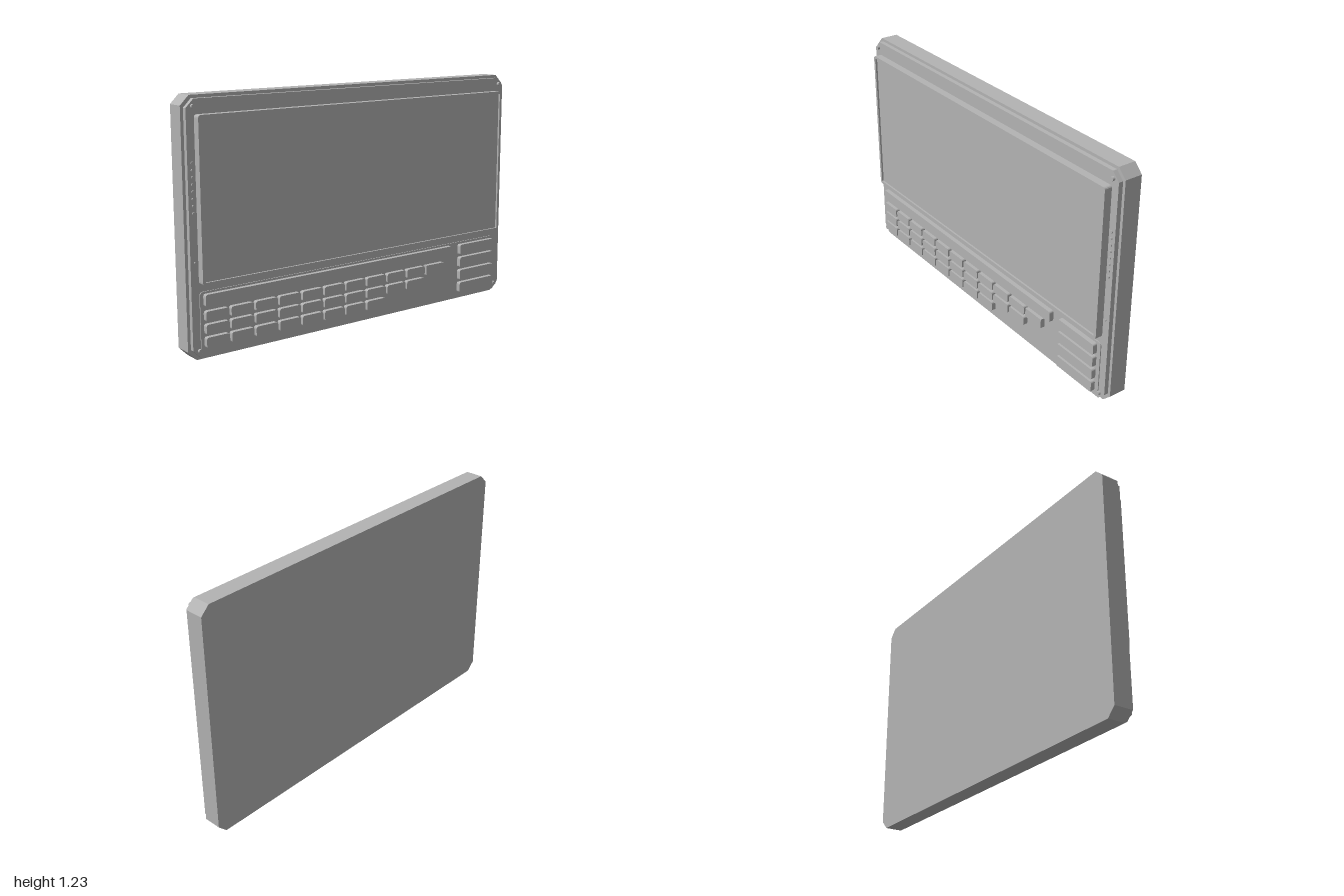
import * as THREE from 'three';

const grey = new THREE.MeshStandardMaterial({ color: 0xb3b3b3 });
grey.name = 'casing grey';

// Outline between two corners; corners are cut straight or rounded by r
function outline(x0, y0, x1, y1, r, round, Type = THREE.Shape) {
  const s = new Type();
  const corner = (cx, cy, x, y) => (round ? s.quadraticCurveTo(cx, cy, x, y) : s.lineTo(x, y));
  s.moveTo(x0 + r, y0);
  s.lineTo(x1 - r, y0);
  if (r) corner(x1, y0, x1, y0 + r);
  s.lineTo(x1, y1 - r);
  if (r) corner(x1, y1, x1 - r, y1);
  s.lineTo(x0 + r, y1);
  if (r) corner(x0, y1, x0, y1 - r);
  s.lineTo(x0, y0 + r);
  if (r) corner(x0, y0, x0 + r, y0);
  return s;
}

export function createModel() {
  const model = new THREE.Group();
  model.name = 'keyboardTerminal';

  const add = (name, geometry, parent = model) => {
    const mesh = new THREE.Mesh(geometry, grey);
    mesh.name = name;
    parent.add(mesh);
    return mesh;
  };
  const slab = (name, shape, z0, z1, parent) => {
    const g = new THREE.ExtrudeGeometry(shape, { depth: z1 - z0, bevelEnabled: false, curveSegments: 4 });
    g.translate(0, 0, z0);
    return add(name, g, parent);
  };
  const stud = (name, x, y, r, z0, z1, parent) => {
    const g = new THREE.CylinderGeometry(r, r, z1 - z0, 12);
    g.rotateX(Math.PI / 2);
    g.translate(x, y, (z0 + z1) / 2);
    return add(name, g, parent);
  };

  // Casing with cut corners and a stepped front plate
  slab('body', outline(-1, 0, 1, 1.23, 0.045, false), -0.075, 0.016);
  slab('frontPlate', outline(-0.985, 0.015, 0.985, 1.215, 0.04, false), 0.016, 0.039);

  // Raised bezel around a slightly recessed screen
  const bezel = outline(-0.945, 0.366, 0.945, 1.145, 0.015, true);
  bezel.holes.push(outline(-0.93, 0.38, 0.93, 1.132, 0.003, true, THREE.Path));
  slab('bezel', bezel, 0.039, 0.078);
  slab('screen', outline(-0.93, 0.38, 0.93, 1.132, 0.003, true), 0.039, 0.068);

  // Keyboard deck
  slab('keyDeck', outline(-0.945, 0.03, 0.945, 0.33, 0.02, true), 0.039, 0.044);

  // Keys: wide bar, three rows of small keys, and a side column
  const keys = new THREE.Group();
  keys.name = 'keys';
  model.add(keys);
  const key = (name, x0, y0, x1, y1, r = 0.012) =>
    slab(name, outline(x0, y0, x1, y1, r, true), 0.044, 0.068, keys);
  key('wideKey', -0.928, 0.26, 0.605, 0.32);
  const rows = [[11, 0.19, 0.24], [10, 0.127, 0.177], [8, 0.063, 0.115]];
  for (const [count, y0, y1] of rows) {
    for (let i = 0; i < count; i++) {
      const x = -0.928 + i * 0.1345;
      key('smallKey', x, y0, x + 0.123, y1, i === 10 ? 0 : 0.012);
    }
  }
  for (let i = 0; i < 4; i++) {
    const y = 0.26 - i * 0.0715;
    key('sideKey', 0.665, y, 0.922, y + 0.058);
  }

  // Corner screws, side rows of small studs and one lone stud on each side
  for (const side of [-1, 1]) {
    for (const y of [0.05, 1.182]) stud('screw', side * 0.952, y, 0.01, 0.039, 0.052);
    for (let i = 0; i < 8; i++) stud('grilleStud', side * 0.962, 0.7 + i * 0.0327, 0.007, 0.039, 0.045);
    stud('indicator', side * 0.962, 0.47, 0.006, 0.039, 0.045);
  }

  return model;
}
